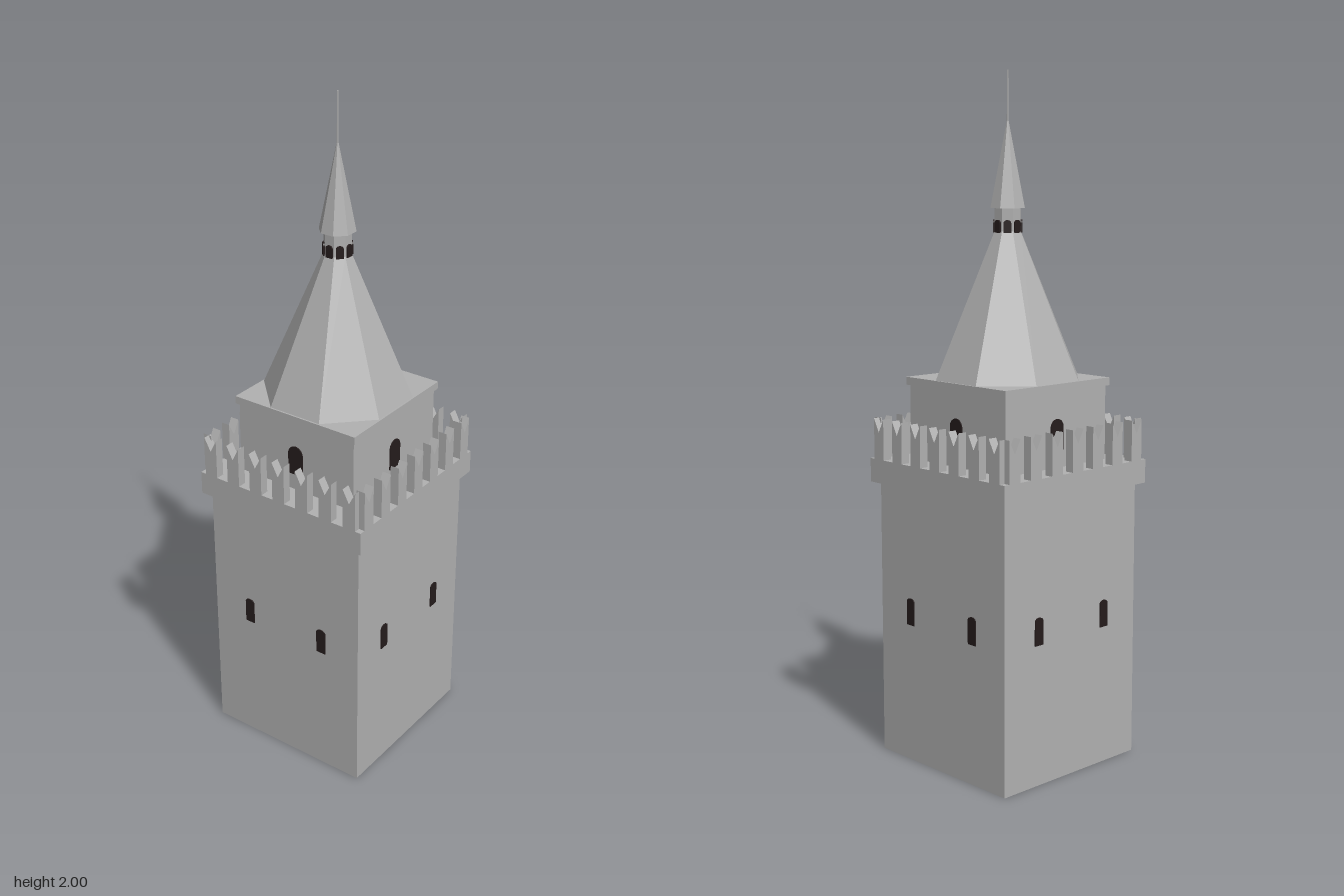
import * as THREE from 'three';

const stone = new THREE.MeshStandardMaterial({ color: 0xb0b0b0 });
stone.name = 'stone';
stone.flatShading = true;
stone.side = THREE.DoubleSide;
const opening = new THREE.MeshStandardMaterial({ color: 0x251c1c });
opening.name = 'dark opening';

const FLAT8 = Math.cos(Math.PI / 8);

export function createModel() {
  const tower = new THREE.Group();
  tower.name = 'tower';

  function add(name, geometry, material = stone, parent = tower) {
    const mesh = new THREE.Mesh(geometry, material);
    mesh.name = name;
    parent.add(mesh);
    return mesh;
  }

  // Square slab centred on the axis, between two heights
  function slab(name, half, y0, y1) {
    add(name, new THREE.BoxGeometry(half * 2, y1 - y0, half * 2).translate(0, (y0 + y1) / 2, 0));
  }

  // Eight-sided frustum given by the distance from axis to flat side
  function octagon(name, bottom, top, y0, y1, open = false) {
    const g = new THREE.CylinderGeometry(top / FLAT8, bottom / FLAT8, y1 - y0, 8, 1, open);
    add(name, g.rotateY(Math.PI / 8).translate(0, (y0 + y1) / 2, 0));
  }

  // Thin arched plate standing on its base, facing +z
  function archPlate(width, height, rise) {
    const w = width / 2;
    const s = new THREE.Shape();
    s.moveTo(-w, 0);
    s.lineTo(w, 0);
    s.lineTo(w, height - rise);
    s.absellipse(0, height - rise, w, rise, 0, Math.PI, false, 0);
    s.closePath();
    return new THREE.ExtrudeGeometry(s, { depth: 0.006, bevelEnabled: false, curveSegments: 6 });
  }

  // Shaft, hollow and open at the foot
  const shaft = new THREE.CylinderGeometry(0.263 * Math.SQRT2, 0.263 * Math.SQRT2, 0.82, 4, 1, true);
  add('shaft', shaft.rotateY(Math.PI / 4).translate(0, 0.41, 0));

  // Projecting gallery, upper chamber and cornice
  slab('gallery', 0.284, 0.82, 0.89);
  slab('upperChamber', 0.2, 0.89, 1.107);
  slab('cornice', 0.208, 1.107, 1.13);

  // Swallow-tailed merlon
  const m = new THREE.Shape();
  m.moveTo(-0.021, 0);
  m.lineTo(0.021, 0);
  m.lineTo(0.021, 0.12);
  m.lineTo(0, 0.08);
  m.lineTo(-0.021, 0.12);
  m.closePath();
  const merlon = new THREE.ExtrudeGeometry(m, { depth: 0.027, bevelEnabled: false });

  const slit = archPlate(0.031, 0.08, 0.01);
  const chamberWindow = archPlate(0.05, 0.09, 0.025);

  // The same battlements and windows on all four sides
  for (let i = 0; i < 4; i++) {
    const side = new THREE.Group();
    side.name = 'side' + (i + 1);
    side.rotation.y = i * Math.PI / 2;
    tower.add(side);
    for (let k = -3; k <= 3; k++) {
      add('merlon', merlon, stone, side).position.set(k * 0.0815, 0.89, 0.257);
    }
    for (const s of [-1, 1]) {
      add('shaftWindow', slit, opening, side).position.set(s * 0.132, 0.412, 0.26);
    }
    add('chamberWindow', chamberWindow, opening, side).position.set(0, 0.94, 0.197);
  }

  // Eight-sided roof, lantern and spire
  octagon('roof', 0.203, 0.037, 1.13, 1.55);
  octagon('lantern', 0.037, 0.037, 1.55, 1.62);
  octagon('spire', 0.049, 0.0015, 1.615, 1.865);
  const lanternWindow = archPlate(0.022, 0.036, 0.009);
  for (let i = 0; i < 8; i++) {
    const face = new THREE.Group();
    face.name = 'lanternFace' + (i + 1);
    face.rotation.y = i * Math.PI / 4;
    tower.add(face);
    add('lanternWindow', lanternWindow, opening, face).position.set(0, 1.546, 0.036);
  }

  // Pole on the tip
  add('pole', new THREE.CylinderGeometry(0.002, 0.003, 0.15, 6).translate(0, 1.925, 0));

  return tower;
}
